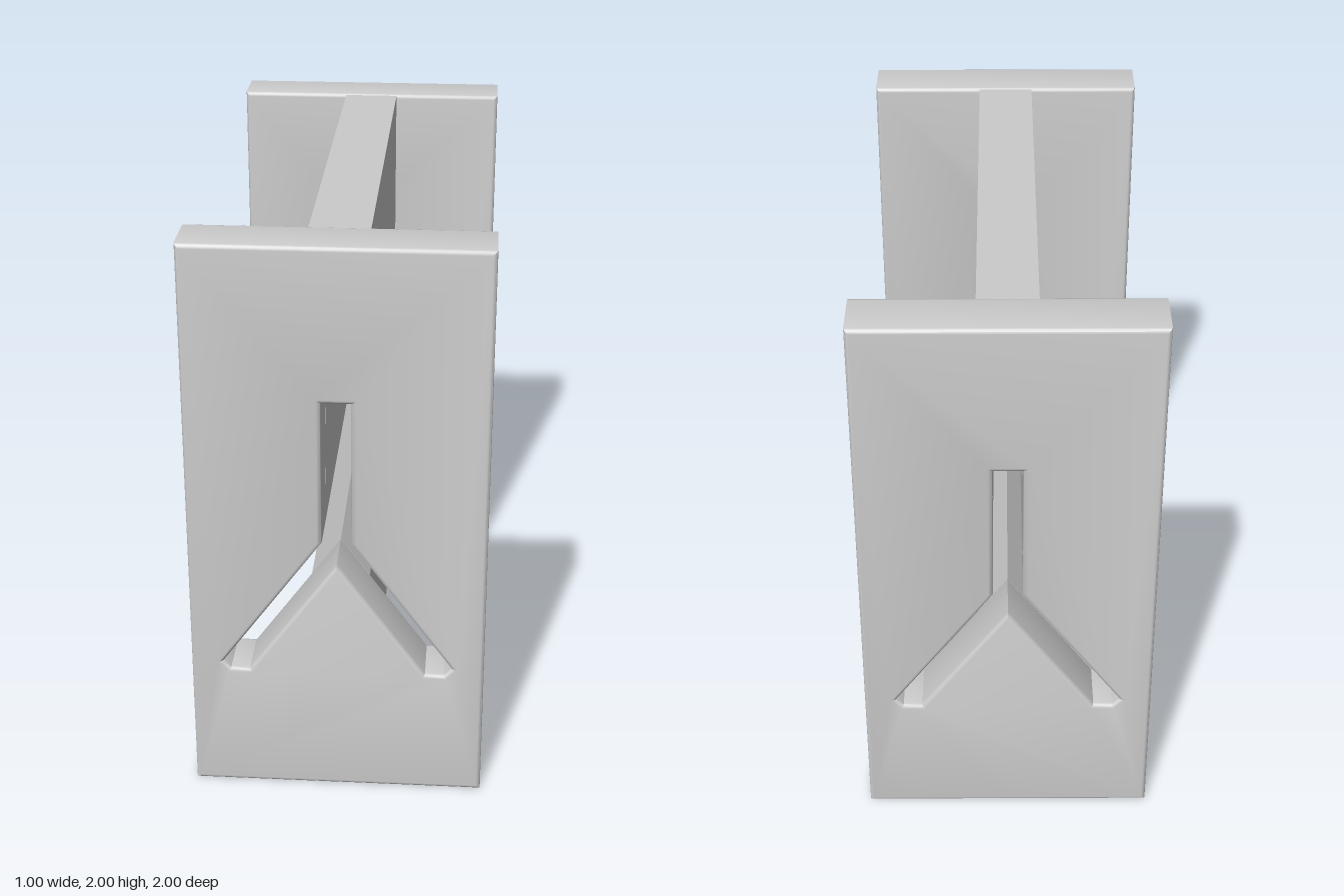
import * as THREE from 'three';
import { toCreasedNormals } from 'three/addons/utils/BufferGeometryUtils.js';

const material = new THREE.MeshStandardMaterial({ color: 0xcccccc });

// Right half of the forked slot, from its top down to the crotch
const slotHalf = [[0.05, 1.47], [0.05, 0.96], [0.39, 0.49], [0.365, 0.465], [0.3, 0.465]];
const crotch = [0, 0.88];

const mirrored = (pts) => pts.map(([x, y]) => [-x, y]).reverse();
const toVectors = (pts) => pts.map(([x, y]) => new THREE.Vector2(x, y));

// Extrude an outline along z, centred on z = 0
function extrude(name, outline, depth, bevel = 0, hole = null) {
  const shape = new THREE.Shape(toVectors(outline));
  if (hole) shape.holes.push(new THREE.Path(toVectors(hole)));
  const geometry = new THREE.ExtrudeGeometry(shape, {
    depth: depth - 2 * bevel,
    bevelEnabled: bevel > 0,
    bevelThickness: bevel,
    bevelSize: bevel,
    bevelOffset: -bevel,
    bevelSegments: 3,
  });
  geometry.translate(0, 0, bevel - depth / 2);
  const mesh = new THREE.Mesh(toCreasedNormals(geometry, 0.6), material);
  mesh.name = name;
  return mesh;
}

export function createModel() {
  const group = new THREE.Group();
  group.name = 'slottedBeam';

  // End plates, each pierced by the forked slot
  const plate = [[-0.5, 0], [0.5, 0], [0.5, 2], [-0.5, 2]];
  const slot = [...slotHalf, crotch, ...mirrored(slotHalf)];
  for (const [name, z] of [['frontPlate', 0.9], ['backPlate', -0.9]]) {
    const mesh = extrude(name, plate, 0.2, 0.015, slot);
    mesh.position.z = z;
    group.add(mesh);
  }

  // Upper web straddles the upright part of the slot
  const webHalf = [[0.1, 1.995], [0.1, 0.9], [0.095, 0.898], [0.05, 0.96], [0.05, 1.47]];
  group.add(extrude('upperWeb', [...webHalf, ...mirrored(webHalf)], 1.62));

  // Lower web rises to a ridge beneath the fork
  const ridge = [[-0.1, 0.005], [0.1, 0.005], [0.1, 0.742], crotch, [-0.1, 0.742]];
  group.add(extrude('lowerWeb', ridge, 1.62));

  return group;
}
